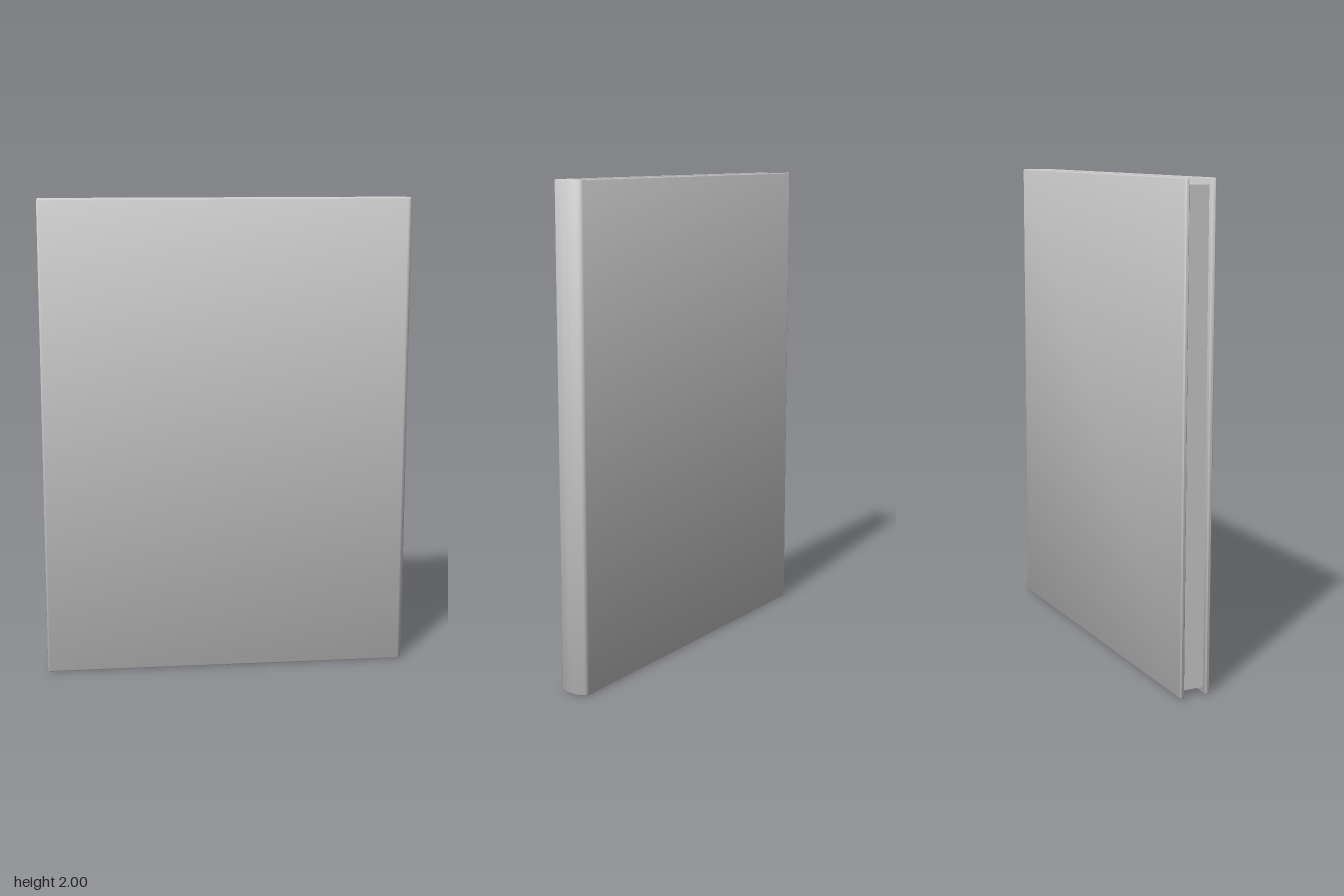
import * as THREE from 'three';
import { toCreasedNormals } from 'three/addons/utils/BufferGeometryUtils.js';

const HEIGHT = 2, LEFT = -0.777, OUT = 0.065, IN = 0.047, R = 0.008, BEVEL = 0.006;

// Extrudes a plan outline (x, -z) upward from y = bottom
function upright(name, shape, bottom, top, bevel, material) {
  let geo = new THREE.ExtrudeGeometry(shape, {
    depth: top - bottom - 2 * bevel,
    curveSegments: 10,
    bevelEnabled: bevel > 0,
    bevelThickness: bevel,
    bevelSize: bevel,
    bevelOffset: -bevel,
    bevelSegments: 4,
  });
  geo.rotateX(-Math.PI / 2);
  geo.translate(0, bottom + bevel, 0);
  geo = toCreasedNormals(geo, 0.7);
  const mesh = new THREE.Mesh(geo, material);
  mesh.name = name;
  return mesh;
}

// Two boards joined by a gently rounded spine
function coverOutline() {
  const s = new THREE.Shape();
  s.moveTo(LEFT + R, -OUT);
  s.lineTo(0.742, -OUT);
  s.quadraticCurveTo(0.76, -OUT, 0.765, -0.045);
  s.quadraticCurveTo(0.786, 0, 0.765, 0.045);
  s.quadraticCurveTo(0.76, OUT, 0.742, OUT);
  s.lineTo(LEFT + R, OUT);
  s.quadraticCurveTo(LEFT, OUT, LEFT, OUT - R);
  s.lineTo(LEFT, IN + R);
  s.quadraticCurveTo(LEFT, IN, LEFT + R, IN);
  s.lineTo(0.72, IN);
  s.quadraticCurveTo(0.735, 0, 0.72, -IN);
  s.lineTo(LEFT + R, -IN);
  s.quadraticCurveTo(LEFT, -IN, LEFT, -IN - R);
  s.lineTo(LEFT, -OUT + R);
  s.quadraticCurveTo(LEFT, -OUT, LEFT + R, -OUT);
  return s;
}

// Page block, rounded where it meets the spine
function pagesOutline() {
  const s = new THREE.Shape();
  s.moveTo(-0.753, -IN);
  s.lineTo(0.72, -IN);
  s.quadraticCurveTo(0.735, 0, 0.72, IN);
  s.lineTo(-0.753, IN);
  s.closePath();
  return s;
}

export function createModel() {
  const material = new THREE.MeshStandardMaterial({ color: 0xcccccc });
  const book = new THREE.Group();
  book.name = 'book';
  book.add(upright('cover', coverOutline(), 0, HEIGHT, BEVEL, material));
  book.add(upright('pageBlock', pagesOutline(), 0.025, HEIGHT - 0.025, 0, material));
  return book;
}
